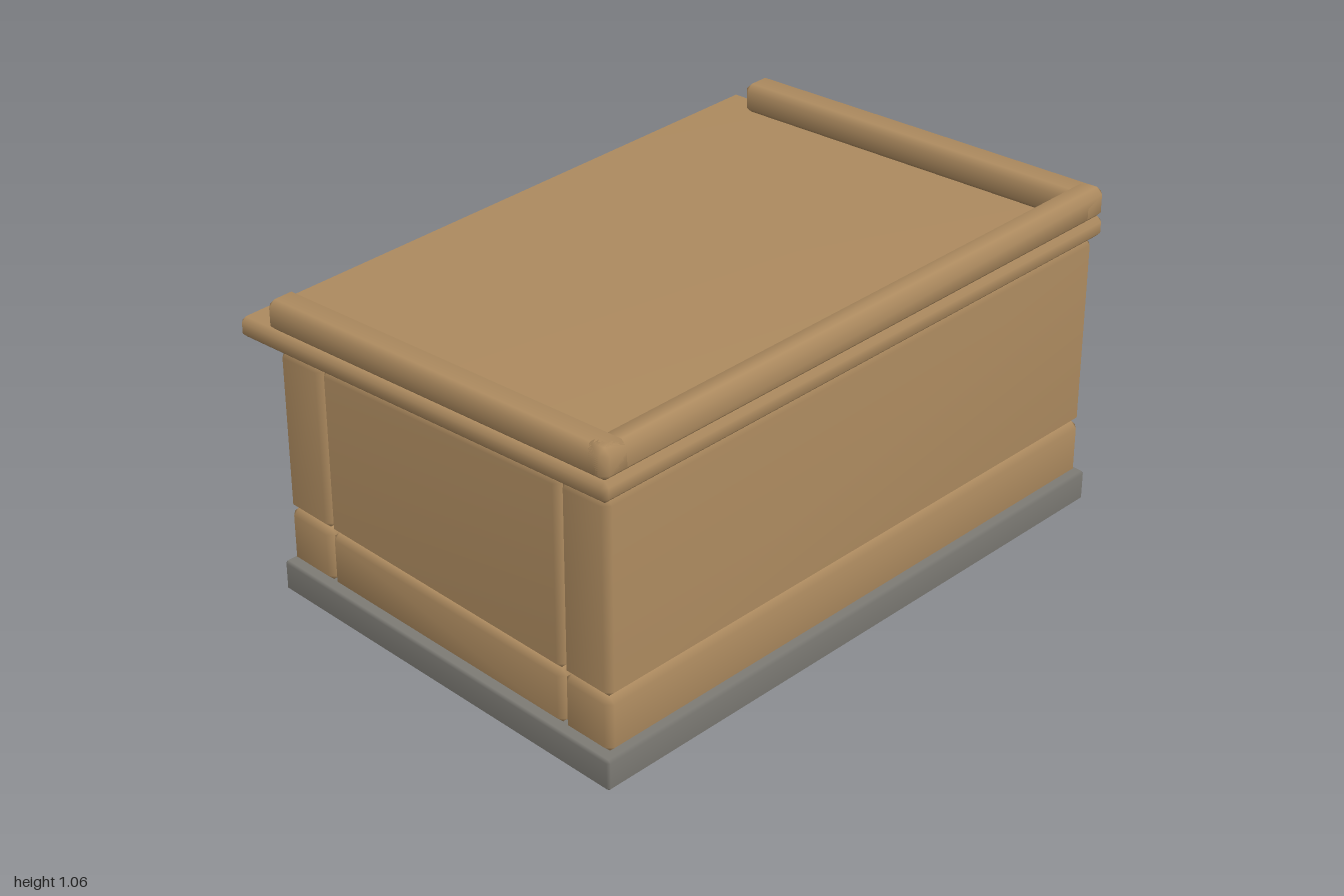
import * as THREE from 'three';
import { mergeVertices } from 'three/addons/utils/BufferGeometryUtils.js';
import { ConvexGeometry } from 'three/addons/geometries/ConvexGeometry.js';

const SLOPE = 0.0757; // roof rises toward the front
const TOP = 0.848;    // wall top height at z = 0

const mat = (name, color) => {
  const m = new THREE.MeshStandardMaterial({ color });
  m.name = name;
  return m;
};

// Box from min/max ranges with chamfered edges; tilt 'top' slopes the upper half, 'all' the whole block
function block([x0, x1], [y0, y1], [z0, z1], c, tilt) {
  const pts = [];
  const mid = (y0 + y1) / 2;
  for (const sx of [0, 1]) for (const sy of [0, 1]) for (const sz of [0, 1]) {
    for (let axis = 0; axis < 3; axis++) {
      const inset = (k, s, lo, hi) => (s ? hi - (k === axis ? 0 : c) : lo + (k === axis ? 0 : c));
      const p = new THREE.Vector3(inset(0, sx, x0, x1), inset(1, sy, y0, y1), inset(2, sz, z0, z1));
      if (tilt === 'all' || (tilt === 'top' && p.y > mid)) p.y += SLOPE * p.z;
      pts.push(p);
    }
  }
  let g = new ConvexGeometry(pts);
  g.deleteAttribute('normal');
  g = mergeVertices(g, 1e-4);
  g.computeVertexNormals();
  return g;
}

export function createModel() {
  const model = new THREE.Group();
  model.name = 'adobeHouse';
  const clay = mat('clay', 0xb08d61);
  const stone = mat('stone', 0x7d7b75);
  const timber = mat('darkTimber', 0x54432f);
  const doorWood = mat('doorWood', 0x4c392a);

  const add = (name, geometry, material) => {
    const mesh = new THREE.Mesh(geometry, material);
    mesh.name = name;
    model.add(mesh);
    return mesh;
  };

  add('foundation', block([-1, 1], [0, 0.1], [-0.605, 0.735], 0.008), stone);

  // Walls: a low plinth course with a tall course on top, cut to the roof slope
  const C = 0.02;
  const plinth = [0.1, 0.28];
  const front = [0.54, 0.72], side = [-0.41, 0.54], back = [-0.59, -0.41];
  const wall = (name, x, z) => {
    add(name + 'Plinth', block(x, plinth, z, C), clay);
    add(name + 'Wall', block(x, [0.28, TOP], z, C, 'top'), clay);
  };
  wall('front', [-0.98, 0.98], front);
  wall('left', [0.8, 0.98], side);
  wall('right', [-0.98, -0.8], side);
  wall('backLeft', [0.55, 0.98], back);
  wall('backMiddle', [-0.17, 0.355], back);
  wall('backRight', [-0.98, -0.48], back);

  // Window bay and the piece above the door
  const win = [0.355, 0.55], doorway = [-0.48, -0.17];
  add('windowPlinth', block(win, plinth, back, C), clay);
  add('windowSill', block(win, [0.28, 0.39], back, C), clay);
  add('windowHead', block(win, [0.6, TOP], back, C, 'top'), clay);
  add('doorHead', block(doorway, [0.71, TOP], back, C, 'top'), clay);

  // Door, lintels and window bars
  add('door', block([-0.49, -0.16], [0.1, 0.73], [-0.53, -0.49], 0.004), doorWood);
  add('windowLintel', block([0.3, 0.61], [0.587, 0.625], [-0.614, -0.45], 0.004), timber);
  add('doorLintel', block([-0.57, -0.1], [0.69, 0.742], [-0.616, -0.45], 0.004), timber);
  for (let i = 0; i < 4; i++) {
    const bar = add('windowBar', new THREE.CylinderGeometry(0.008, 0.008, 0.24, 8), timber);
    bar.position.set(0.395 + i * 0.039, 0.49, -0.55);
  }

  // Roof slab with a parapet on three sides
  add('roof', block([-1, 1], [0.85, 0.915], [-0.732, 0.735], 0.015, 'all'), clay);
  const rim = [0.913, 1.01];
  add('frontParapet', block([-1, 1], rim, [0.645, 0.735], C, 'all'), clay);
  add('leftParapet', block([0.9, 1], rim, [-0.607, 0.735], C, 'all'), clay);
  add('rightParapet', block([-1, -0.9], rim, [-0.607, 0.735], C, 'all'), clay);

  // Round rafter ends under the eave
  [0.88, 0.67, 0.45, 0.23, 0.01, -0.23, -0.49, -0.69, -0.89].forEach((x, i) => {
    const len = i === 0 || i === 6 ? 0.24 : 0.228;
    const rafter = add('rafter', new THREE.CylinderGeometry(0.017, 0.017, len, 8), timber);
    rafter.rotation.x = Math.PI / 2;
    rafter.position.set(x, 0.793, -0.5 - len / 2);
  });

  return model;
}
